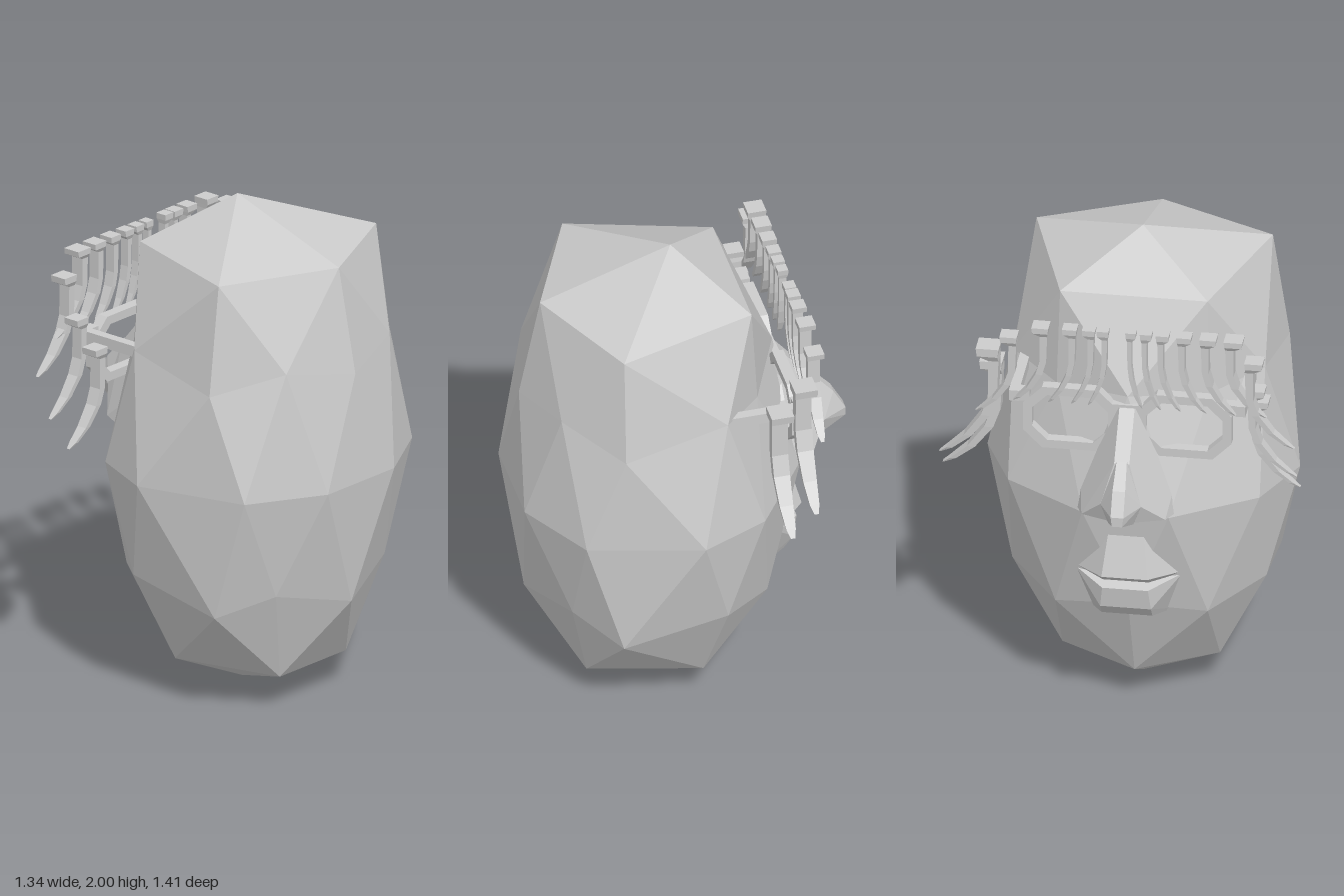
import * as THREE from 'three';
import { ConvexGeometry } from 'three/addons/geometries/ConvexGeometry.js';

const MID = 0.04; // z of the head's mirror plane; the face looks to -x

const material = new THREE.MeshStandardMaterial({ color: 0xcccccc, flatShading: true, side: THREE.DoubleSide });

function add(group, name, geometry, x = 0, y = 0, z = 0) {
  const mesh = new THREE.Mesh(geometry, material);
  mesh.name = name;
  mesh.position.set(x, y, z);
  group.add(mesh);
  return mesh;
}

// Completes a half ring of [x, y, zOffset] points by mirroring it
function ring(half) {
  const other = half.filter((p) => p[2] !== 0).reverse().map(([x, y, z]) => [x, y, -z]);
  return half.concat(other);
}

// Stretched, twice divided icosahedron with a recess at the eyes
function headGeometry() {
  const top = [0.03, 2, 0], bottom = [0.05, 0, 0];
  const u1 = ring([[0.555, 1.82, 0], [0.34, 1.82, 0.465], [-0.22, 1.82, 0.29]]);
  const u2 = ring([[0.64, 1.4, 0], [0.55, 1.46, 0.305], [0.35, 1.38, 0.53],
    [-0.07, 1.46, 0.495], [-0.24, 1.42, 0.3], [-0.38, 1.46, 0]]);
  const eq = ring([[0.67, 0.96, 0.195], [0.5, 0.96, 0.495], [0.05, 0.96, 0.615],
    [-0.22, 0.96, 0.495], [-0.45, 0.97, 0.17]]);
  const l2 = ring([[0.62, 0.45, 0], [0.51, 0.53, 0.32], [0.35, 0.45, 0.5],
    [-0.07, 0.53, 0.5], [-0.28, 0.47, 0.3], [-0.37, 0.53, 0]]);
  const l1 = ring([[0.42, 0.14, 0.195], [-0.02, 0.14, 0.31], [-0.2, 0.14, 0]]);
  const out = [];
  const tri = (a, b, c) => out.push(...[a, b, c].flatMap(([x, y, z]) => [x, y, z + MID]));
  for (let j = 0; j < 5; j++) {
    const k = (j + 1) % 5, i = 2 * j, n = (i + 2) % 10, m = (i + 3) % 10;
    // crown
    tri(top, u1[k], u1[j]);
    tri(u1[j], u2[i + 1], u2[i]);
    tri(u1[j], u1[k], u2[i + 1]);
    tri(u1[k], u2[n], u2[i + 1]);
    // chin
    tri(bottom, l1[j], l1[k]);
    tri(l1[j], l2[i + 1], l2[n]);
    tri(l1[j], l2[n], l1[k]);
    tri(l1[k], l2[n], l2[m]);
  }
  // sides
  for (let i = 0; i < 10; i++) {
    const n = (i + 1) % 10;
    tri(u2[i], u2[n], eq[i]);
    tri(eq[i], u2[n], eq[n]);
    tri(eq[i], l2[n], l2[i]);
    tri(eq[i], eq[n], l2[n]);
  }
  const g = new THREE.BufferGeometry();
  g.setAttribute('position', new THREE.Float32BufferAttribute(out, 3));
  g.computeVertexNormals();
  return g;
}

// Convex solid from half its points, mirrored in the face's middle plane
function symmetricHull(points) {
  return new ConvexGeometry(points.flatMap(([x, y, z]) =>
    (z ? [z, -z] : [0]).map((s) => new THREE.Vector3(x, y, MID + s))));
}

// Lash: square head, thin stem and a blade sweeping outwards to a tip
function lashGeometry(length, sweep, w) {
  const rows = [ // fraction down, outward shift, half width, half depth
    [0, 0, 1, 1], [0.07, 0, 1, 0.9], [0.12, -0.12, 0.7, 0.45], [0.45, -0.1, 0.72, 0.4],
    [0.62, 0.05, 0.72, 0.4], [0.82, 0.42, 0.6, 0.35], [0.95, 0.8, 0.42, 0.25], [1, 1, 0.2, 0.08],
  ];
  const g = new THREE.BoxGeometry(2, 1, 2, 1, rows.length - 1, 1);
  const p = g.attributes.position;
  for (let i = 0; i < p.count; i++) {
    const [t, shift, hx, hz] = rows[Math.round((0.5 - p.getY(i)) * (rows.length - 1))];
    p.setXYZ(i, p.getX(i) * hx * w, -t * length, p.getZ(i) * hz * w + shift * sweep);
  }
  g.computeVertexNormals();
  return g;
}

// Eight-sided outline, drawn as y over z
function octagon(Type, w, h, cut) {
  return new Type([[w, h - cut], [w - cut, h], [cut - w, h], [-w, h - cut],
    [-w, cut - h], [cut - w, -h], [w - cut, -h], [w, cut - h]].map(([a, b]) => new THREE.Vector2(a, b)));
}

function rimGeometry() {
  const shape = octagon(THREE.Shape, 0.185, 0.135, 0.075);
  shape.holes.push(octagon(THREE.Path, 0.15, 0.1, 0.06));
  const g = new THREE.ExtrudeGeometry(shape, { depth: 0.045, bevelEnabled: false });
  return g.rotateY(-Math.PI / 2);
}

export function createModel() {
  const model = new THREE.Group();

  add(model, 'head', headGeometry());

  // Nose: bridge with wide wings, and the pointed tip
  const nose = new THREE.Group();
  nose.name = 'nose';
  add(nose, 'noseBridge', symmetricHull([[-0.4, 1.42, 0.03], [-0.3, 1.4, 0.08], [-0.54, 1.25, 0.03],
    [-0.57, 1.08, 0.08], [-0.5, 0.99, 0.165], [-0.56, 1, 0.04], [-0.35, 0.97, 0.22], [-0.3, 1.15, 0.2]]));
  add(nose, 'noseTip', symmetricHull([[-0.54, 1.26, 0.02], [-0.62, 1.17, 0.025], [-0.67, 1.08, 0.025],
    [-0.67, 1.04, 0.02], [-0.57, 1, 0.05], [-0.57, 1.08, 0.08], [-0.45, 1.05, 0.08]]));
  model.add(nose);

  // Mouth
  add(model, 'upperLip', symmetricHull([[-0.43, 0.87, 0.07], [-0.475, 0.7, 0.09], [-0.44, 0.67, 0.09],
    [-0.35, 0.68, 0.21], [-0.33, 0.66, 0.2], [-0.3, 0.84, 0.08]]));
  add(model, 'lowerLip', symmetricHull([[-0.455, 0.64, 0.09], [-0.44, 0.55, 0.1], [-0.4, 0.5, 0.1],
    [-0.27, 0.47, 0.17], [-0.35, 0.67, 0.21], [-0.27, 0.62, 0.2]]));

  // Spectacles
  const glasses = new THREE.Group();
  glasses.name = 'glasses';
  for (const side of [-1, 1]) {
    add(glasses, 'rim', rimGeometry(), -0.35, 1.35, MID + side * 0.225);
    add(glasses, 'templeArm', new THREE.BoxGeometry(0.34, 0.045, 0.04), -0.23, 1.44, MID + side * 0.445);
    add(glasses, 'hinge', new THREE.BoxGeometry(0.045, 0.045, 0.08), -0.373, 1.44, MID + side * 0.425);
  }
  add(glasses, 'bridge', new THREE.BoxGeometry(0.04, 0.04, 0.13), -0.375, 1.41, MID);
  model.add(glasses);

  // Lashes: x, z, top, length, sweep, half width
  const lashes = [
    [-0.425, 0.545, 1.69, 0.38, 0.155, 0.036], [-0.36, 0.545, 1.53, 0.38, 0.155, 0.034],
    [-0.265, 0.545, 1.43, 0.38, 0.155, 0.036], [-0.36, -0.51, 1.64, 0.49, 0.19, 0.045],
    [-0.265, -0.51, 1.53, 0.48, 0.19, 0.045], [-0.425, -0.42, 1.73, 0.35, 0.13, 0.034],
  ];
  for (const z of [-0.295, -0.18, -0.105, -0.05, 0.06, 0.12, 0.185, 0.27, 0.365, 0.465]) {
    const d = Math.abs(z - MID);
    lashes.push([-0.425, z, 1.78, 0.34, 0.04 + 0.2 * d, 0.02 + 0.04 * d]);
  }
  const lashGroup = new THREE.Group();
  lashGroup.name = 'lashes';
  for (const [x, z, top, length, sweep, w] of lashes) {
    add(lashGroup, 'lash', lashGeometry(length, sweep * Math.sign(z - MID), w), x, top, z);
  }
  model.add(lashGroup);

  return model;
}
